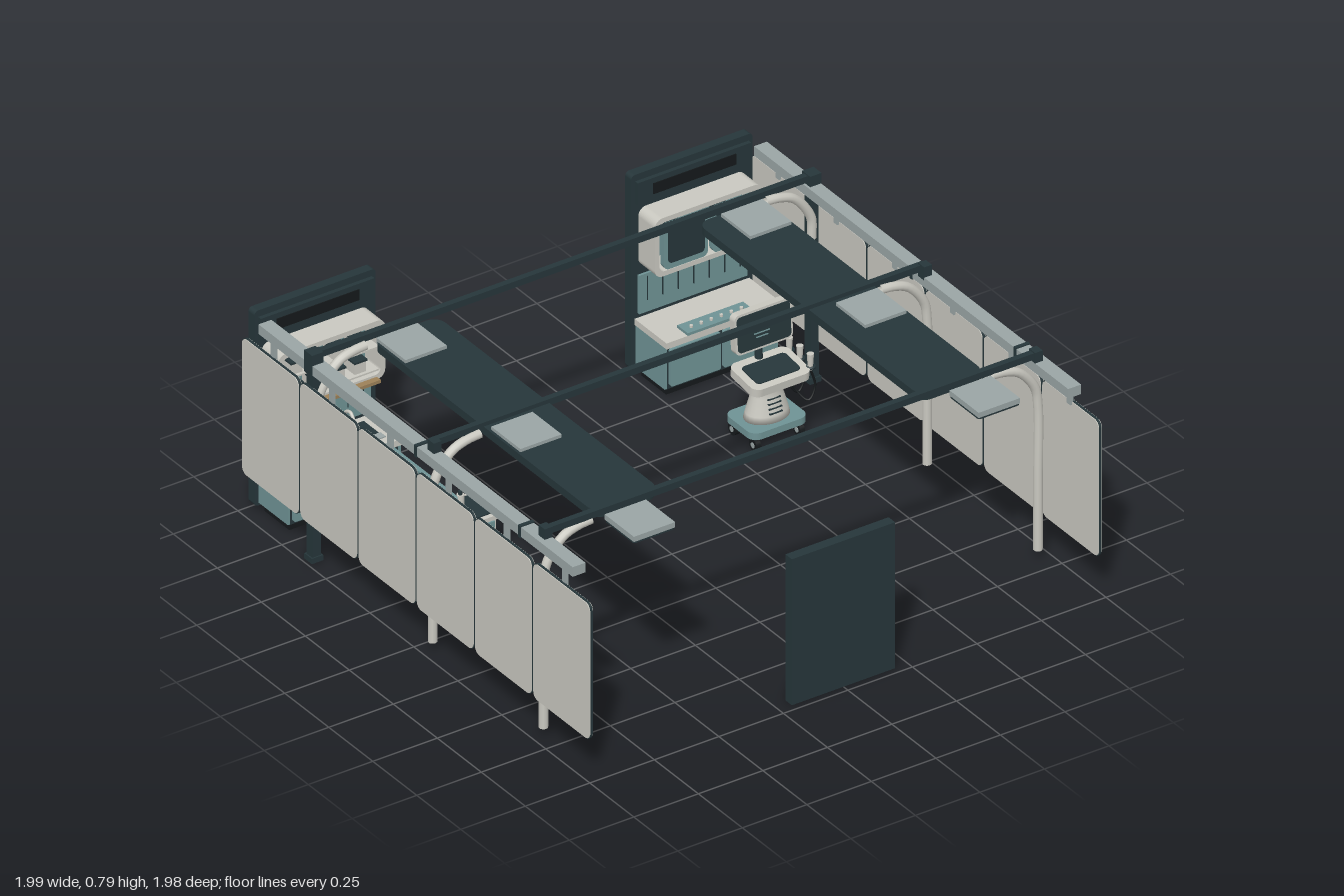
import * as THREE from 'three';

const DARK = 0x26363a, BLACK = 0x15191b, LIGHT = 0xc9c8c0, TEAL = 0x6f9395, GREY = 0x9aa5a5, TAN = 0x9c8158;
const mats = {};
const mat = (c) => (mats[c] ??= new THREE.MeshStandardMaterial({ color: c, side: THREE.DoubleSide }));

function add(parent, name, geo, color, x = 0, y = 0, z = 0) {
  const m = new THREE.Mesh(geo, mat(color));
  m.name = name;
  m.position.set(x, y, z);
  parent.add(m);
  return m;
}
function group(parent, name, x = 0, y = 0, z = 0) {
  const g = new THREE.Group();
  g.name = name;
  g.position.set(x, y, z);
  parent.add(g);
  return g;
}
// box given by its lower and upper limits
const box = (p, name, c, x0, x1, y0, y1, z0, z1) =>
  add(p, name, new THREE.BoxGeometry(x1 - x0, y1 - y0, z1 - z0), c, (x0 + x1) / 2, (y0 + y1) / 2, (z0 + z1) / 2);

function roundRect(w, h, r, S = THREE.Shape) {
  const s = new S(), a = w / 2, b = h / 2;
  s.absarc(a - r, b - r, r, 0, Math.PI / 2);
  s.absarc(-a + r, b - r, r, Math.PI / 2, Math.PI);
  s.absarc(-a + r, -b + r, r, Math.PI, Math.PI * 1.5);
  s.absarc(a - r, -b + r, r, Math.PI * 1.5, Math.PI * 2);
  s.closePath();
  return s;
}
// rounded slab centred on the origin, facing z, with an optional window of the given border
function slab(w, h, d, r, border = 0) {
  const s = roundRect(w, h, r);
  if (border) s.holes.push(roundRect(w - 2 * border, h - 2 * border, r * 0.7, THREE.Path));
  const g = new THREE.ExtrudeGeometry(s, { depth: d, bevelEnabled: false, curveSegments: 6 });
  return g.translate(0, 0, -d / 2);
}
const tube = (pts, r, n = 28) =>
  new THREE.TubeGeometry(new THREE.CatmullRomCurve3(pts.map((p) => new THREE.Vector3(...p))), n, r, 10);
const cyl = (r0, r1, h, n = 16) => new THREE.CylinderGeometry(r0, r1, h, n);

// Side walls, rails and posts, for one side
function addSide(root, s) {
  const g = group(root, s > 0 ? 'leftWall' : 'rightWall');
  for (let i = 0; i < 6; i++) {
    const z = 0.828 - i * 0.331;
    add(g, 'wallPanel', slab(0.32, 0.51, 0.014, 0.025).rotateY(Math.PI / 2), LIGHT, s * 0.986, 0.405, z);
    add(g, 'panelTrim', slab(0.325, 0.515, 0.008, 0.027, 0.008).rotateY(Math.PI / 2), DARK, s * 0.986, 0.405, z);
    add(g, 'panelHanger', new THREE.BoxGeometry(0.012, 0.07, 0.02), GREY, s * 0.978, 0.685, z);
  }
  add(g, 'sideRail', new THREE.BoxGeometry(0.05, 0.036, 1.785), GREY, s * 0.96, 0.728, -0.012);
  for (const z of [-0.01, 0.58])
    add(g, 'railStrap', new THREE.BoxGeometry(0.056, 0.044, 0.014), DARK, s * 0.96, 0.728, z);
  for (const z of [0.675, 0.045]) {
    add(g, 'post', tube([[0.958, 0.03, 0], [0.958, 0.3, 0], [0.958, 0.57, 0], [0.945, 0.645, 0], [0.885, 0.72, 0],
      [0.83, 0.742, 0], [0.775, 0.748, 0]].map(([x, y]) => [s * x, y, 0]), 0.016, 40), LIGHT, 0, 0, z);
    add(g, 'beamClamp', new THREE.BoxGeometry(0.03, 0.05, 0.035), DARK, s * 0.95, 0.76, z);
  }
  add(g, 'backArm', tube([[0.955, 0.55], [0.95, 0.63], [0.885, 0.72], [0.83, 0.742], [0.775, 0.748]]
    .map(([x, y]) => [s * x, y, 0]), 0.016), LIGHT, 0, 0, -0.605);
  add(g, 'backPost', new THREE.BoxGeometry(0.034, 0.785, 0.034), DARK, s * 0.965, 0.3925, -0.62);
  add(g, 'backPostCap', new THREE.BoxGeometry(0.044, 0.08, 0.046), DARK, s * 0.965, 0.745, -0.62);
  add(g, 'backPostFoot', new THREE.BoxGeometry(0.044, 0.02, 0.044), DARK, s * 0.965, 0.01, -0.62);

  // ceiling panel with lit tiles below, and square lamps
  const c = group(root, 'ceilingUnit', s * 0.63, 0, 0);
  add(c, 'ceilingPanel', slab(0.255, 1.265, 0.018, 0.045).rotateX(Math.PI / 2), DARK, 0, 0.757, 0.038);
  add(c, 'ceilingLip', slab(0.255, 1.265, 0.012, 0.045, 0.018).rotateX(Math.PI / 2), DARK, 0, 0.743, 0.038);
  for (let i = 0; i < 6; i++)
    add(c, 'lightTile', new THREE.BoxGeometry(0.185, 0.006, 0.186), TAN, 0, 0.746, 0.038 + (i - 2.5) * 0.197);
  for (const z of [-0.5, 0.153, 0.798]) {
    const x = s * 0.038;
    add(c, 'lampHousing', new THREE.BoxGeometry(0.16, 0.02, 0.166), GREY, x, 0.768, z);
    add(c, 'lampRim', slab(0.16, 0.166, 0.006, 0.01, 0.018).rotateX(Math.PI / 2), DARK, x, 0.755, z);
    add(c, 'lampLens', new THREE.BoxGeometry(0.12, 0.006, 0.126), TAN, x, 0.756, z);
  }
}

// Back workstation shared by both corners
function addStation(root, name, x) {
  const g = group(root, name, x, 0, 0);
  add(g, 'backBoard', slab(0.47, 0.735, 0.034, 0.015), DARK, 0, 0.392, -0.974);
  box(g, 'header', DARK, -0.22, 0.22, 0.65, 0.735, -0.957, -0.942);
  box(g, 'headerInset', BLACK, -0.16, 0.16, 0.675, 0.715, -0.942, -0.939);
  add(g, 'upperFrame', slab(0.415, 0.22, 0.095, 0.03, 0.018), LIGHT, 0, 0.52, -0.91);
  box(g, 'upperBack', TEAL, -0.19, 0.19, 0.425, 0.615, -0.957, -0.95);
  box(g, 'splashPanel', TEAL, -0.21, 0.21, 0.235, 0.38, -0.957, -0.948);
  for (let i = 0; i < 7; i++)
    box(g, 'splashSeam', DARK, -0.181 + i * 0.06, -0.178 + i * 0.06, 0.28, 0.37, -0.948, -0.945);
  box(g, 'counter', LIGHT, -0.222, 0.222, 0.195, 0.218, -0.957, -0.775);
  box(g, 'baseCabinet', DARK, -0.21, 0.21, 0.03, 0.195, -0.957, -0.795);
  box(g, 'toeKick', BLACK, -0.2, 0.2, 0, 0.03, -0.95, -0.81);
  for (const s of [-1, 1]) {
    box(g, 'cabinetSide', TEAL, s * 0.215 - 0.004, s * 0.215 + 0.004, 0.035, 0.195, -0.957, -0.79);
    add(g, 'cabinetDoor', slab(0.195, 0.14, 0.012, 0.008), TEAL, s * 0.103, 0.112, -0.789);
    box(g, 'doorHandle', LIGHT, s * 0.103 - 0.04, s * 0.103 + 0.04, 0.165, 0.171, -0.783, -0.776);
  }
  return g;
}

function addCasters(g, dx, dz) {
  for (const x of [-dx, dx]) for (const z of [-dz, dz]) {
    add(g, 'casterWheel', cyl(0.022, 0.022, 0.018).rotateZ(Math.PI / 2), BLACK, x, 0.022, z);
    add(g, 'casterHub', cyl(0.01, 0.01, 0.022).rotateZ(Math.PI / 2), GREY, x, 0.022, z);
    add(g, 'casterStem', cyl(0.009, 0.009, 0.025), DARK, x, 0.05, z);
  }
}

export function createModel() {
  const root = new THREE.Group();
  root.name = 'treatmentBay';
  for (const s of [-1, 1]) addSide(root, s);

  // Cross beams
  for (const [z, w] of [[-0.622, 1.95], [0.03, 1.91], [0.675, 1.91]])
    add(root, 'crossBeam', new THREE.BoxGeometry(w, 0.024, 0.022), DARK, 0, 0.769, z);

  // Storage station: two rows of bins, sink and tap
  const store = addStation(root, 'storageStation', -0.73);
  for (let r = 0; r < 2; r++) {
    box(store, 'binShelf', LIGHT, -0.19, 0.19, 0.436 + r * 0.085, 0.442 + r * 0.085, -0.95, -0.87);
    for (let i = 0; i < 4; i++) {
      const x = (i - 1.5) * 0.082, y = 0.465 + r * 0.085;
      box(store, 'bin', LIGHT, x - 0.022, x + 0.022, y - 0.022, y + 0.018, -0.94, -0.88);
      box(store, 'binLid', DARK, x - 0.025, x + 0.025, y + 0.018, y + 0.025, -0.942, -0.876);
    }
  }
  box(store, 'shelfLight', TAN, -0.175, 0.175, 0.408, 0.42, -0.87, -0.84);
  box(store, 'counterMat', GREY, -0.175, 0.175, 0.218, 0.222, -0.842, -0.812);
  box(store, 'sink', DARK, 0.04, 0.17, 0.218, 0.221, -0.93, -0.845);
  add(store, 'tap', tube([[0.105, 0.22, -0.94], [0.105, 0.27, -0.94], [0.105, 0.285, -0.91], [0.105, 0.265, -0.89]], 0.006), LIGHT);

  // Monitoring station: twin screens and a control desk
  const watch = addStation(root, 'monitorStation', 0.73);
  for (const s of [-1, 1]) {
    add(watch, 'screenFrame', slab(0.17, 0.165, 0.02, 0.02), TEAL, s * 0.094, 0.52, -0.862);
    add(watch, 'screen', slab(0.14, 0.13, 0.004, 0.015), DARK, s * 0.094, 0.525, -0.85);
    add(watch, 'screenMount', new THREE.BoxGeometry(0.06, 0.06, 0.08), DARK, s * 0.094, 0.52, -0.912);
  }
  box(watch, 'controlDesk', TEAL, -0.14, 0.115, 0.218, 0.228, -0.835, -0.775);
  for (let i = 0; i < 6; i++)
    add(watch, 'controlKnob', cyl(0.006, 0.006, 0.008, 10), LIGHT, -0.11 + i * 0.039, 0.232, -0.8);

  // Free-standing double door, plain in front and detailed behind
  const door = group(root, 'doubleDoor');
  box(door, 'doorSlab', DARK, -0.2, 0.2, 0, 0.55, 0.938, 0.975);
  for (const s of [-1, 1]) {
    box(door, 'doorLeaf', TEAL, s * 0.09 - 0.085, s * 0.09 + 0.085, 0.025, 0.52, 0.92, 0.938);
    add(door, 'doorWindow', slab(0.1, 0.16, 0.008, 0.012), DARK, s * 0.09, 0.4, 0.917);
    box(door, 'pushBar', GREY, s * 0.09 - 0.06, s * 0.09 + 0.06, 0.235, 0.25, 0.9, 0.913);
    for (const k of [-0.045, 0.045])
      box(door, 'barMount', GREY, s * 0.09 + k - 0.006, s * 0.09 + k + 0.006, 0.237, 0.248, 0.91, 0.922);
    box(door, 'kickPlate', DARK, s * 0.09 - 0.075, s * 0.09 + 0.075, 0.22, 0.224, 0.918, 0.921);
  }

  // Slatted rack on the right wall
  const rack = group(root, 'wallRack', -0.945, 0.46, -0.045);
  add(rack, 'rackFrame', slab(0.41, 0.33, 0.018, 0.02, 0.02).rotateY(Math.PI / 2), TEAL);
  for (let i = 0; i < 6; i++)
    add(rack, 'rackSlat', new THREE.BoxGeometry(0.012, 0.022, 0.38), GREY, 0, -0.12 + i * 0.048, 0);
  for (const z of [-0.15, 0.15])
    add(rack, 'rackBracket', new THREE.BoxGeometry(0.035, 0.04, 0.02), DARK, -0.017, 0.1, z);

  // Drawer trolley
  const cart = group(root, 'drawerTrolley', -0.625, 0, -0.3);
  addCasters(cart, 0.085, 0.06);
  box(cart, 'trolleyBase', DARK, -0.105, 0.105, 0.055, 0.072, -0.08, 0.08);
  add(cart, 'trolleyBody', slab(0.2, 0.135, 0.14, 0.012), LIGHT, 0, 0.14, 0);
  for (let i = 0; i < 4; i++) {
    box(cart, 'drawerFront', TEAL, -0.09, 0.09, 0.08 + i * 0.031, 0.106 + i * 0.031, 0.07, 0.08);
    box(cart, 'drawerPull', LIGHT, -0.07, 0.07, 0.092 + i * 0.031, 0.099 + i * 0.031, 0.08, 0.088);
  }
  add(cart, 'topTray', slab(0.225, 0.165, 0.016, 0.02).rotateX(Math.PI / 2), LIGHT, 0, 0.213, 0);
  add(cart, 'trayMat', slab(0.19, 0.13, 0.004, 0.015).rotateX(Math.PI / 2), DARK, 0, 0.223, 0);
  add(cart, 'bottle', cyl(0.013, 0.013, 0.04), LIGHT, 0.03, 0.244, -0.03);
  add(cart, 'bottleCap', cyl(0.007, 0.007, 0.014), DARK, 0.03, 0.27, -0.03);
  add(cart, 'sidePole', cyl(0.005, 0.005, 0.13, 8), DARK, -0.135, 0.24, 0);
  add(cart, 'poleBracket', new THREE.BoxGeometry(0.04, 0.012, 0.012), DARK, -0.118, 0.2, 0);
  add(cart, 'hose', tube([[-0.11, 0.2, -0.07], [-0.145, 0.17, -0.06], [-0.16, 0.13, -0.02], [-0.145, 0.15, 0.03], [-0.11, 0.19, 0.05]], 0.004), BLACK);

  // Scanner trolley with column, console, monitor and probes
  const scan = group(root, 'scannerTrolley', 0.66, 0, -0.43);
  addCasters(scan, 0.085, 0.06);
  add(scan, 'scannerBase', slab(0.22, 0.17, 0.025, 0.035).rotateX(Math.PI / 2), TEAL, 0, 0.064, 0);
  const column = new THREE.LatheGeometry([[0, 0.075], [0.082, 0.075], [0.076, 0.1], [0.058, 0.16], [0.052, 0.2], [0.07, 0.225], [0, 0.225]]
    .map((p) => new THREE.Vector2(...p)), 24);
  add(scan, 'column', column.scale(1, 1, 0.75), LIGHT);
  for (let i = 0; i < 4; i++)
    add(scan, 'columnVent', new THREE.BoxGeometry(0.05, 0.004, 0.01), DARK, 0, 0.11 + i * 0.016, 0.052 - i * 0.004);
  add(scan, 'console', slab(0.225, 0.16, 0.03, 0.03).rotateX(Math.PI / 2 + 0.12), LIGHT, 0, 0.245, 0.02);
  add(scan, 'keyField', slab(0.17, 0.1, 0.006, 0.015).rotateX(Math.PI / 2 + 0.12), DARK, 0, 0.26, 0.025);
  add(scan, 'monitorStem', cyl(0.012, 0.014, 0.1), DARK, 0, 0.3, -0.045);
  const mon = group(scan, 'monitor', 0, 0.395, -0.03);
  mon.rotation.x = -0.08;
  add(mon, 'monitorShell', slab(0.222, 0.145, 0.028, 0.02), LIGHT);
  add(mon, 'monitorGlass', slab(0.205, 0.128, 0.004, 0.014), DARK, 0, 0, 0.015);
  for (let i = 0; i < 5; i++)
    add(mon, 'screenTrace', new THREE.BoxGeometry(0.11 - i * 0.016, 0.004, 0.002), TEAL, -0.01, 0.03 - i * 0.014, 0.018);
  for (let i = 0; i < 3; i++) {
    const z = -0.05 + i * 0.06;
    add(scan, 'probeHolder', new THREE.TorusGeometry(0.014, 0.005, 8, 16).rotateX(Math.PI / 2), DARK, 0.122, 0.25, z);
    add(scan, 'probe', cyl(0.012, 0.008, 0.06), LIGHT, 0.122, 0.268, z);
    add(scan, 'probeCable', tube([[0.122, 0.24, z], [0.14, 0.17, z], [0.115, 0.125, z], [0.085, 0.16, z * 0.6], [0.06, 0.22, z * 0.5]], 0.004), BLACK);
  }
  return root;
}
